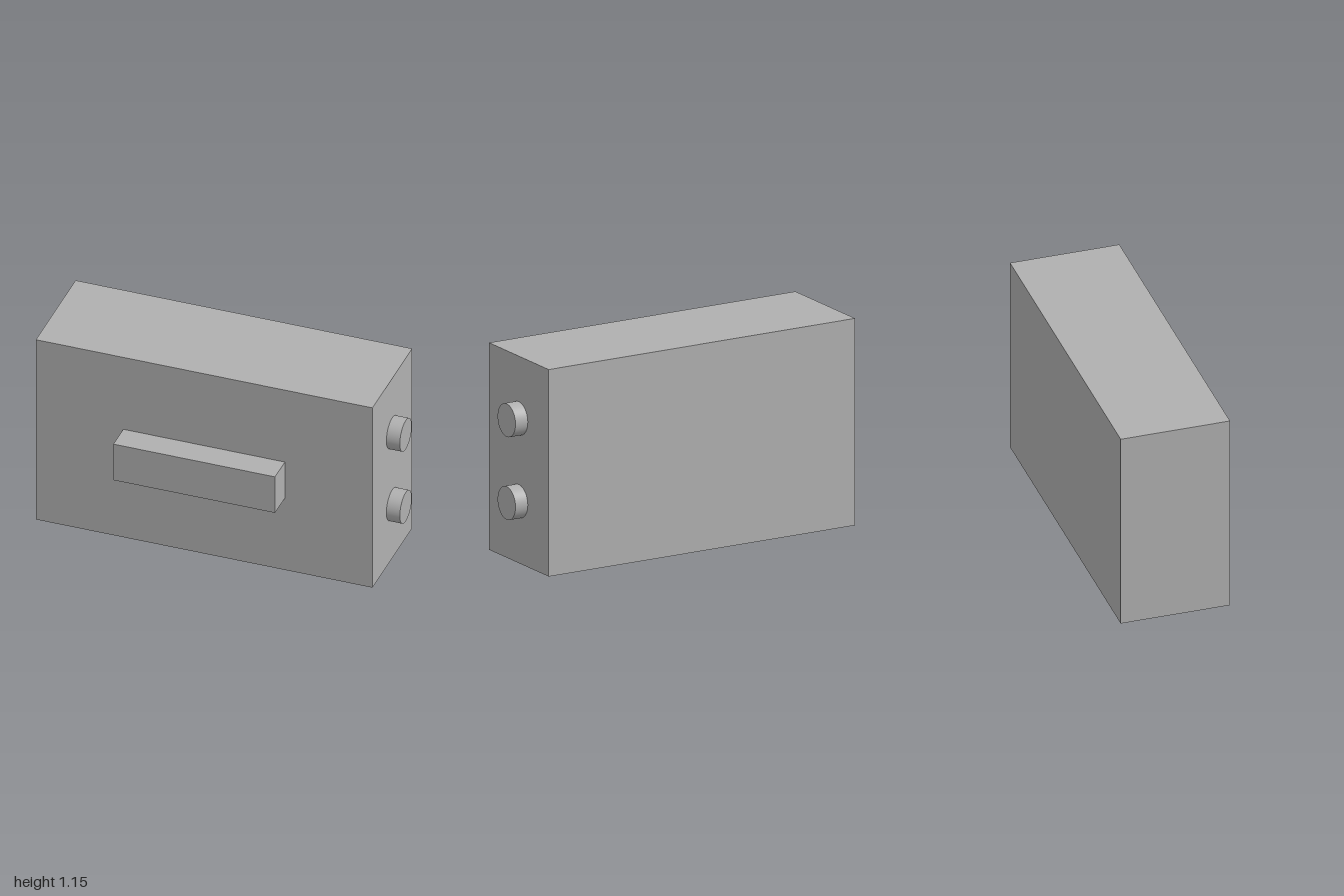
import * as THREE from 'three';

export function createModel() {
  const group = new THREE.Group();
  const grey = new THREE.MeshStandardMaterial({ color: 0xb0b0b0 });
  grey.name = 'grey';

  const add = (name, geometry, x, y, z) => {
    const mesh = new THREE.Mesh(geometry, grey);
    mesh.name = name;
    mesh.position.set(x, y, z);
    group.add(mesh);
    return mesh;
  };

  // Main case
  add('body', new THREE.BoxGeometry(1.923, 1.154, 0.616), -0.0385, 0.577, -0.077);

  // Bar handle on the front face
  add('handle', new THREE.BoxGeometry(0.923, 0.231, 0.154), -0.0385, 0.577, 0.308);

  // Two round knobs on the +x end
  const knob = new THREE.CylinderGeometry(0.0923, 0.0923, 0.077, 48).rotateZ(-Math.PI / 2);
  [['lowerKnob', 0.346], ['upperKnob', 0.808]].forEach(([name, y]) => add(name, knob, 0.9615, y, -0.077));

  return group;
}
